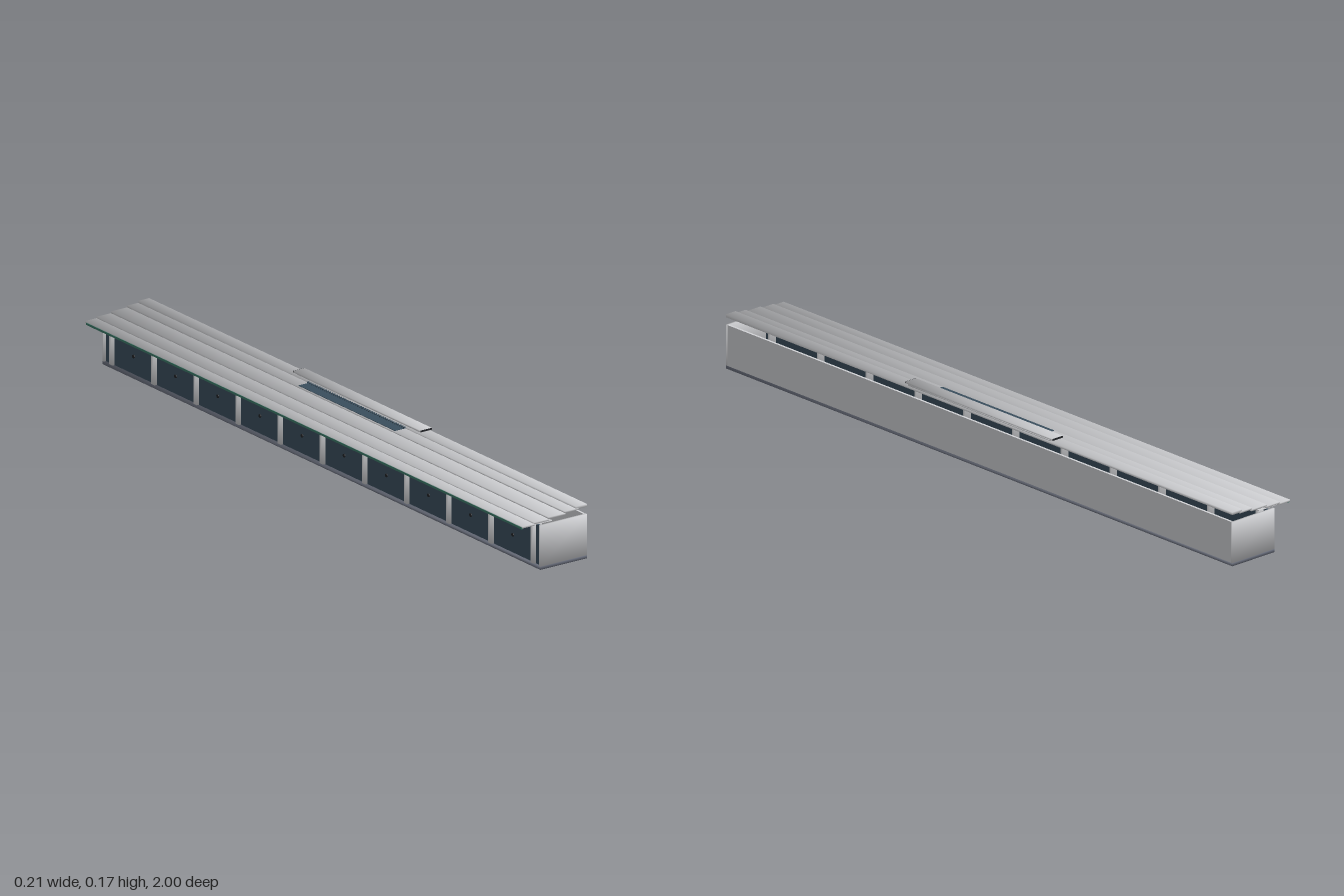
import * as THREE from 'three';

const material = (name, color) => {
  const m = new THREE.MeshStandardMaterial({ color });
  m.name = name;
  return m;
};

// Smooth shading across a box: every corner shares one diagonal normal
const softenCorners = (geometry) => {
  const p = geometry.attributes.position, n = geometry.attributes.normal;
  const v = new THREE.Vector3();
  for (let i = 0; i < p.count; i++) {
    v.set(Math.sign(p.getX(i)), Math.sign(p.getY(i)), Math.sign(p.getZ(i))).normalize();
    n.setXYZ(i, v.x, v.y, v.z);
  }
};

export function createModel() {
  const group = new THREE.Group();
  const metal = material('light grey metal', 0xd0d1d4);
  const slate = material('dark slate panel', 0x3a4e5d);
  const base = material('blue grey base', 0x6a6f7d);
  const green = material('green trim', 0x3c7868);
  const black = material('black detail', 0x202226);

  // Box given by its lower and upper limits on each axis
  const box = (name, mat, [x0, x1], [y0, y1], [z0, z1], parent = group) => {
    const mesh = new THREE.Mesh(new THREE.BoxGeometry(x1 - x0, y1 - y0, z1 - z0), mat);
    mesh.position.set((x0 + x1) / 2, (y0 + y1) / 2, (z0 + z1) / 2);
    mesh.name = name;
    parent.add(mesh);
    return mesh;
  };
  const softBox = (...args) => softenCorners(box(...args).geometry);

  // Hollow body: floor slab, long wall and two end walls
  softBox('floorSlab', base, [-0.049, 0.106], [0, 0.009], [-1, 1]);
  box('longWall', metal, [0.099, 0.106], [0.009, 0.127], [-0.994, 0.994]);
  for (const z of [[-1, -0.994], [0.994, 1]]) {
    softBox('endWall', metal, [-0.049, 0.106], [0.009, 0.127], z);
  }

  // Open side: dark bays between slim posts
  const pitch = 0.1925;
  box('bayPanel', slate, [-0.042, -0.036], [0.009, 0.122], [-0.994, 0.994]);
  for (let i = -5; i <= 5; i++) {
    const z = i * pitch;
    softBox('post', metal, [-0.049, -0.022], [0.009, 0.127], [z - 0.008, z + 0.008]);
    if (i === 5) continue;
    const knob = new THREE.Mesh(new THREE.CylinderGeometry(0.005, 0.005, 0.004, 12), black);
    knob.rotation.z = Math.PI / 2;
    knob.position.set(-0.043, 0.06, z + pitch / 2);
    knob.name = 'bayKnob';
    group.add(knob);
  }

  // Eave soffit and green edge trim
  const soffit = box('soffit', metal, [-0.1, -0.002], [0.1285, 0.1305], [-0.99, 0.99]);
  soffit.rotation.z = -0.02;
  box('eaveTrim', green, [-0.1085, -0.103], [0.127, 0.133], [-0.995, 0.995]);

  // Overlapping roof boards climbing toward the long wall
  const roof = new THREE.Group();
  roof.name = 'steppedRoof';
  group.add(roof);
  const boards = [
    [-0.107, -0.066, 0.131, 0.136],
    [-0.069, -0.018, 0.135, 0.140],
    [-0.021, 0.035, 0.140, 0.145],
    [0.033, 0.078, 0.145, 0.150],
    [0.070, 0.106, 0.148, 0.156],
  ];
  for (const [x0, x1, y0, y1] of boards) {
    softBox('roofBoard', metal, [x0, x1], [y0, y1], [-1, 1], roof);
  }

  // Dark roof opening with fine ribs
  box('roofGrille', slate, [0.035, 0.07], [0.15, 0.1512], [-0.22, 0.22], roof);
  for (let i = 0; i <= 44; i++) {
    const z = -0.22 + i * 0.01;
    box('grilleRib', slate, [0.064, 0.07], [0.1512, 0.155], [z - 0.0015, z + 0.0015], roof);
  }

  // Raised ridge cover with dark ends
  softBox('coverSpacer', metal, [0.074, 0.106], [0.156, 0.160], [-0.28, 0.28], roof);
  softBox('ridgeCover', metal, [0.069, 0.106], [0.160, 0.165], [-0.29, 0.29], roof);
  for (const z of [[-0.292, -0.29], [0.29, 0.292]]) {
    box('coverEnd', black, [0.069, 0.106], [0.160, 0.1645], z, roof);
  }
  return group;
}
